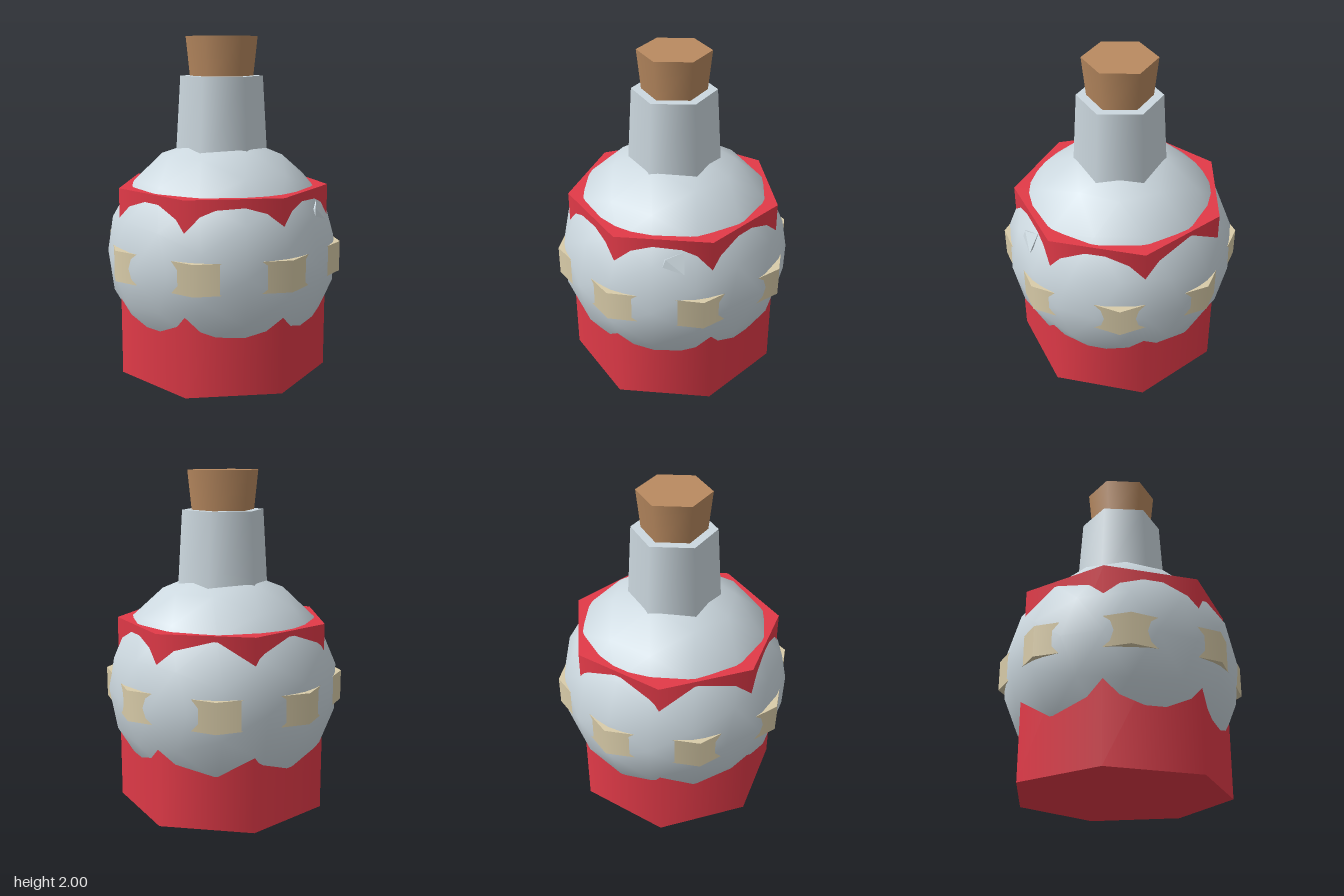
import * as THREE from 'three';
import { ConvexGeometry } from 'three/addons/geometries/ConvexGeometry.js';

function mat(name, color) {
  const m = new THREE.MeshStandardMaterial({ color });
  m.name = name;
  return m;
}

export function createModel() {
  const group = new THREE.Group();
  const glass = mat('glass', 0xccd8df);
  const liquid = mat('red liquid', 0xe23a48);
  const strap = mat('tan strap', 0xd9cca9);
  const cork = mat('cork', 0xb98a60);

  const add = (name, geometry, material, y = 0) => {
    const mesh = new THREE.Mesh(geometry, material);
    mesh.name = name;
    mesh.position.y = y;
    group.add(mesh);
  };
  // Prism or tapered prism between two heights
  const prism = (name, rTop, rBottom, y0, y1, sides, material) =>
    add(name, new THREE.CylinderGeometry(rTop, rBottom, y1 - y0, sides), material, (y0 + y1) / 2);

  // Round flask body, poking through the seven-sided red block
  add('flaskBody', new THREE.IcosahedronGeometry(0.697, 2), glass, 0.71);
  prism('redBody', 0.635, 0.635, 0, 1.13, 7, liquid);

  // Eight-sided strap around the middle
  prism('strap', 0.72, 0.72, 0.62, 0.8, 8, strap);

  // Neck and stopper
  prism('neck', 0.245, 0.278, 1.24, 1.77, 6, glass);
  prism('stopper', 0.212, 0.185, 1.74, 2, 6, cork);

  // Small shard on the front shoulder
  const shard = [
    [0.25, 1.01, 0.53], [0.275, 0.985, 0.565], [0.355, 1.06, 0.47],
    [0.39, 0.948, 0.52], [0.345, 1.01, 0.458], [0.285, 1.03, 0.55],
  ].map((p) => new THREE.Vector3(...p));
  add('shard', new ConvexGeometry(shard), glass);

  return group;
}
